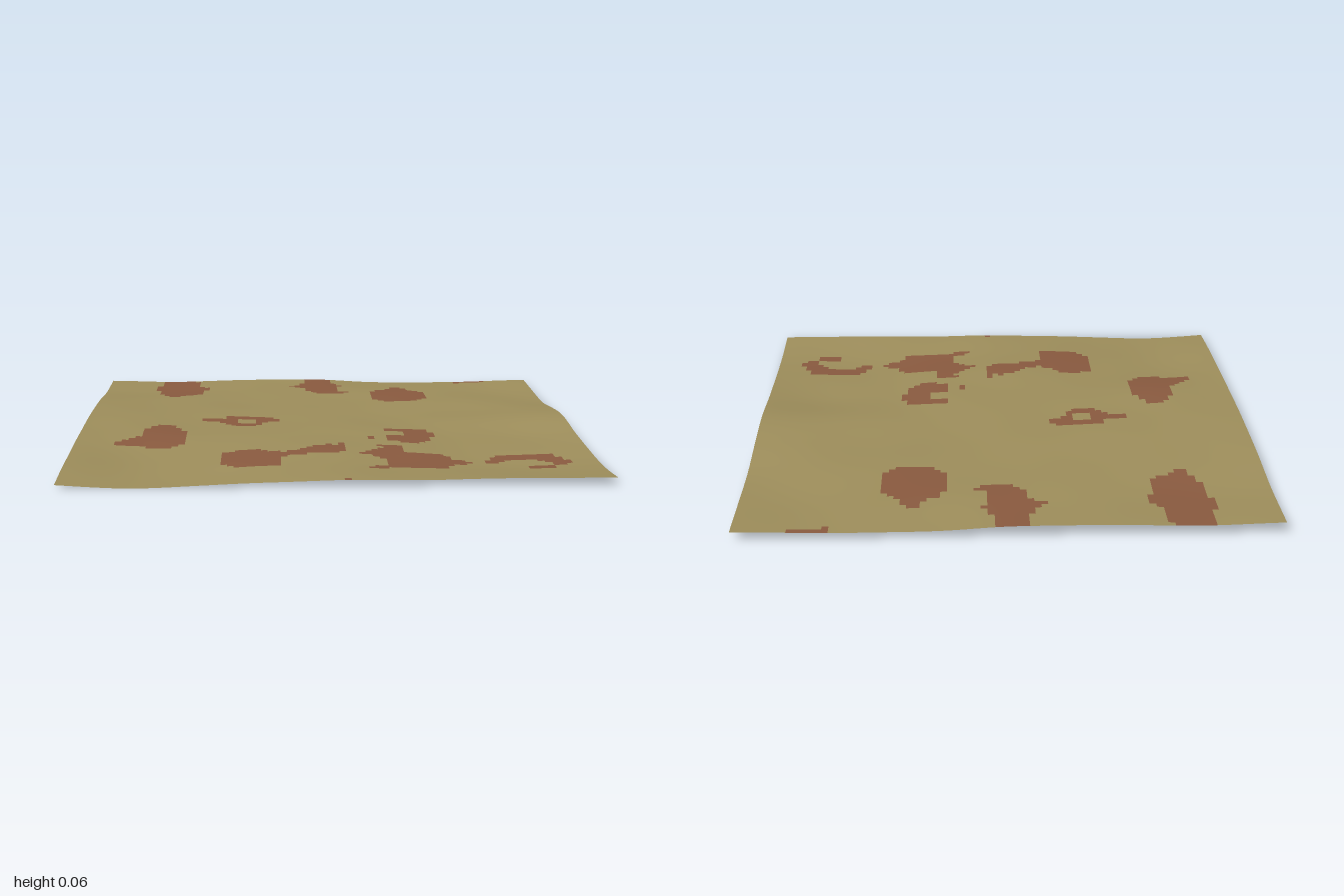
import * as THREE from 'three';

const CELLS = 80;

// Control heights in thousandths: rows run from back to front, columns from x = -1 to 1
const HEIGHTS = [
  [50, 42, 45, 50, 48, 36, 32, 35, 40],
  [45, 38, 45, 48, 45, 40, 36, 30, 32],
  [55, 50, 50, 45, 40, 35, 40, 35, 25],
  [62, 58, 52, 44, 35, 32, 36, 42, 45],
  [62, 56, 45, 38, 36, 34, 38, 46, 55],
  [56, 48, 40, 34, 38, 38, 26, 20, 35],
  [45, 25, 25, 35, 42, 30, 15, 15, 25],
  [35, 12, 16, 32, 30, 20, 10, 10, 16],
  [20, 4, 12, 20, 27, 25, 28, 30, 28],
];

// Outlines of the bare earth patches as x, z pairs
const PATCHES = {
  backLeftCorner: [-.75, -1.1, -.6, -1.1, -.58, -.88, -.51, -.81, -.54, -.75, -.54, -.64, -.64, -.58,
    -.64, -.55, -.69, -.55, -.74, -.66, -.74, -.74, -.78, -.79, -.78, -.85, -.75, -.9],
  backMiddle: [-.06, -1.1, .06, -1.1, .06, -.9, .09, -.84, .06, -.72, .12, -.69, .1, -.64, 0, -.64,
    -.06, -.68, -.09, -.77, -.15, -.82, -.09, -.88],
  backEdge: [.66, -1.1, .81, -1.1, .81, -.97, .68, -.97, .68, -.95, .66, -.95],
  backRight: [.35, -.84, .39, -.8, .39, -.76, .47, -.7, .47, -.54, .43, -.48, .28, -.47, .22, -.55,
    .22, -.66, .26, -.74, .31, -.76],
  ring: [-.43, -.09, -.22, -.09, -.2, -.04, -.26, 0, -.3, .06, -.37, .09, -.46, .01, -.53, -.01,
    -.52, -.06, -.43, -.05],
  left: [-.69, .1, -.63, .1, -.6, .18, -.57, .24, -.57, .38, -.61, .41, -.62, .46, -.69, .46,
    -.74, .43, -.82, .43, -.85, .43, -.85, .38, -.81, .36, -.75, .28, -.75, .19],
  right: [.22, .15, .39, .15, .39, .2, .43, .21, .43, .27, .39, .28, .39, .34, .35, .4, .31, .4,
    .22, .36, .22, .29, .3, .27, .3, .21, .22, .2],
  speck: [.15, .31, .18, .31, .18, .34, .15, .34],
  frontLeft: [-.36, .5, -.28, .5, -.26, .54, -.2, .54, -.19, .58, -.13, .54, -.06, .47, 0, .46,
    .02, .5, .02, .42, .05, .42, .05, .58, -.1, .61, -.19, .64, -.19, .77, -.36, .77, -.43, .7,
    -.41, .6, -.44, .55],
  frontMiddle: [.18, .44, .27, .44, .28, .55, .43, .55, .46, .62, .52, .65, .51, .68, .43, .73,
    .43, .77, .22, .77, .2, .81, .13, .8, .13, .77, .2, .75, .19, .64, .1, .58, .13, .55, .19, .5],
  frontRight: [.62, .56, .72, .56, .72, .54, .83, .54, .87, .62, .9, .65, .9, .71, .84, .72,
    .82, .77, .72, .77, .72, .73, .83, .71, .83, .67, .78, .66, .77, .62, .65, .63, .63, .68, .56, .68],
  frontEdge: [.03, .97, .055, .97, .055, 1.1, .03, 1.1],
};
const RING_HOLE = [-.38, -.04, -.31, -.04, -.31, .03, -.38, .03];

function inside(outline, x, z) {
  let hit = false;
  for (let i = 0, j = outline.length - 2; i < outline.length; j = i, i += 2) {
    const [ax, az, bx, bz] = [outline[i], outline[i + 1], outline[j], outline[j + 1]];
    if ((az > z) !== (bz > z) && x < ax + (bx - ax) * (z - az) / (bz - az)) hit = !hit;
  }
  return hit;
}

// Catmull-Rom through a row of evenly spaced values, with t from 0 to 1
function smooth(values, t) {
  const last = values.length - 1;
  const i = Math.min(Math.floor(t * last), last - 1);
  const f = t * last - i;
  const b = values[i], c = values[i + 1];
  const a = values[i - 1] ?? 2 * b - c, d = values[i + 2] ?? 2 * c - b;
  return b + 0.5 * f * (c - a + f * (2 * a - 5 * b + 4 * c - d + f * (3 * (b - c) + d - a)));
}

function heightAt(x, z) {
  const column = HEIGHTS.map((row) => smooth(row, (x + 1) / 2));
  const ripple = Math.sin(9 * x + 4 * z) * Math.sin(11 * z - 5 * x + 1);
  return (smooth(column, (z + 1) / 2) + 1.5 * ripple) / 1000;
}

export function createModel() {
  const grass = new THREE.MeshStandardMaterial({ color: 0x9f8f5c, side: THREE.DoubleSide });
  grass.name = 'dryGrass';
  const earth = new THREE.MeshStandardMaterial({ color: 0x8b5b40, side: THREE.DoubleSide });
  earth.name = 'bareEarth';

  // Rolling sheet resting on y = 0
  const sheet = new THREE.PlaneGeometry(2, 2, CELLS, CELLS).rotateX(-Math.PI / 2);
  const pos = sheet.attributes.position;
  for (let i = 0; i < pos.count; i++) pos.setY(i, heightAt(pos.getX(i), pos.getZ(i)));
  sheet.computeBoundingBox();
  sheet.translate(0, -sheet.boundingBox.min.y, 0);
  sheet.computeVertexNormals();

  // Sort the grid cells into grass and earth
  const cells = { grass: [], earth: [] };
  const index = sheet.index.array;
  for (let c = 0; c < CELLS * CELLS; c++) {
    const x = ((c % CELLS) + 0.5) * 2 / CELLS - 1;
    const z = (Math.floor(c / CELLS) + 0.5) * 2 / CELLS - 1;
    const bare = Object.values(PATCHES).some((p) => inside(p, x, z)) && !inside(RING_HOLE, x, z);
    cells[bare ? 'earth' : 'grass'].push(...index.slice(c * 6, c * 6 + 6));
  }

  const group = new THREE.Group();
  group.name = 'groundPatch';
  const addGround = (name, indices, material) => {
    const geometry = sheet.clone();
    geometry.setIndex(indices);
    const mesh = new THREE.Mesh(geometry, material);
    mesh.name = name;
    group.add(mesh);
  };
  addGround('grassGround', cells.grass, grass);
  addGround('earthPatches', cells.earth, earth);
  return group;
}
